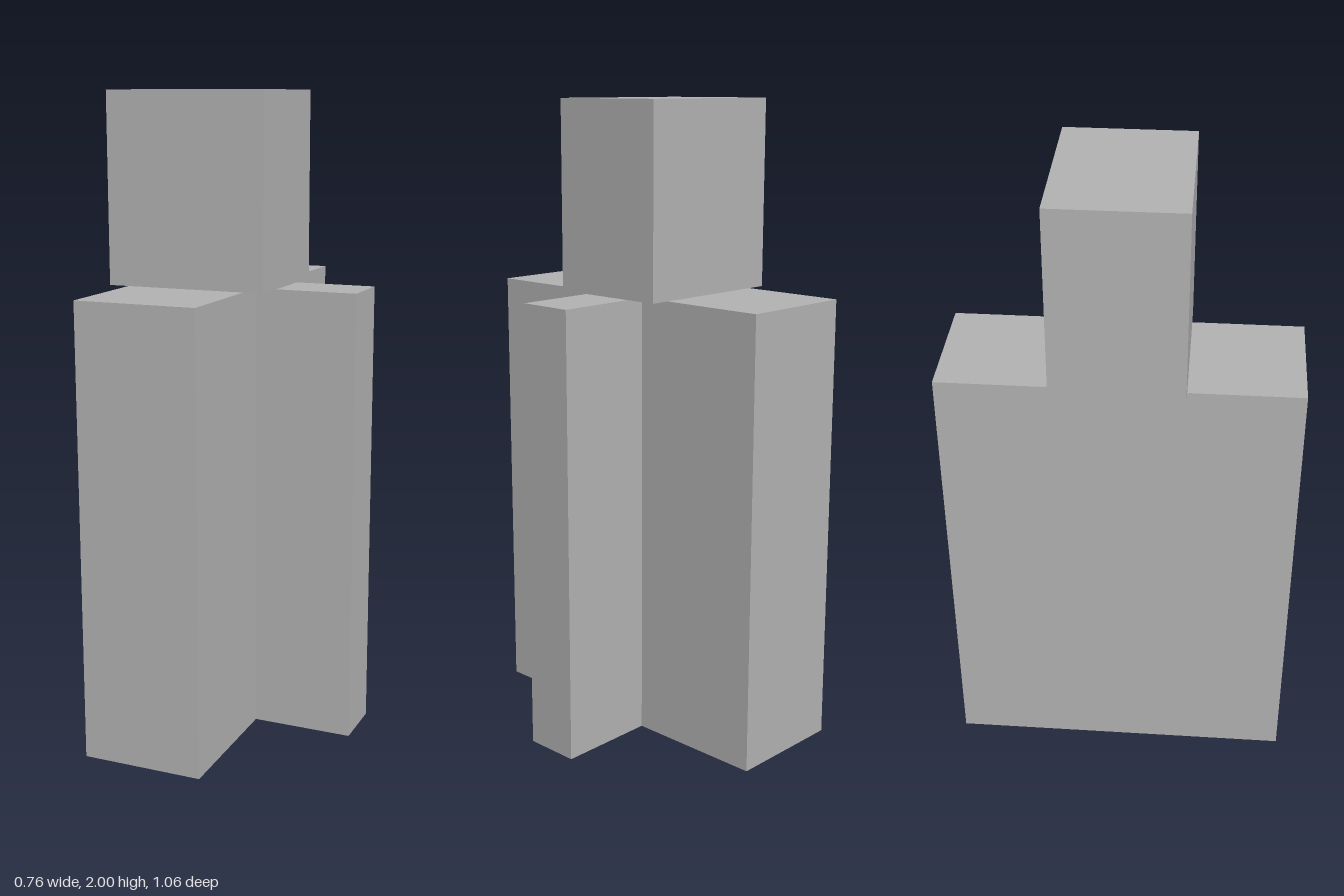
import * as THREE from 'three';

export function createModel() {
  const group = new THREE.Group();
  const grey = new THREE.MeshStandardMaterial({ color: 0xb2b2b2 });
  grey.name = 'plain grey';

  // Box given by its extents in x and y, centred on z = 0
  const block = (name, x0, x1, y0, y1, depth) => {
    const mesh = new THREE.Mesh(new THREE.BoxGeometry(x1 - x0, y1 - y0, depth), grey);
    mesh.position.set((x0 + x1) / 2, (y0 + y1) / 2, 0);
    mesh.name = name;
    group.add(mesh);
  };

  const shoulder = 1.412;
  block('body', -0.318, 0.064, 0, shoulder, 1.062);
  block('sideFin', 0.064, 0.382, 0, shoulder, 0.177); // narrow upright rib on the left flank
  block('head', -0.382, 0.128, shoulder, 2, 0.387); // overhangs the body on both sides

  return group;
}
